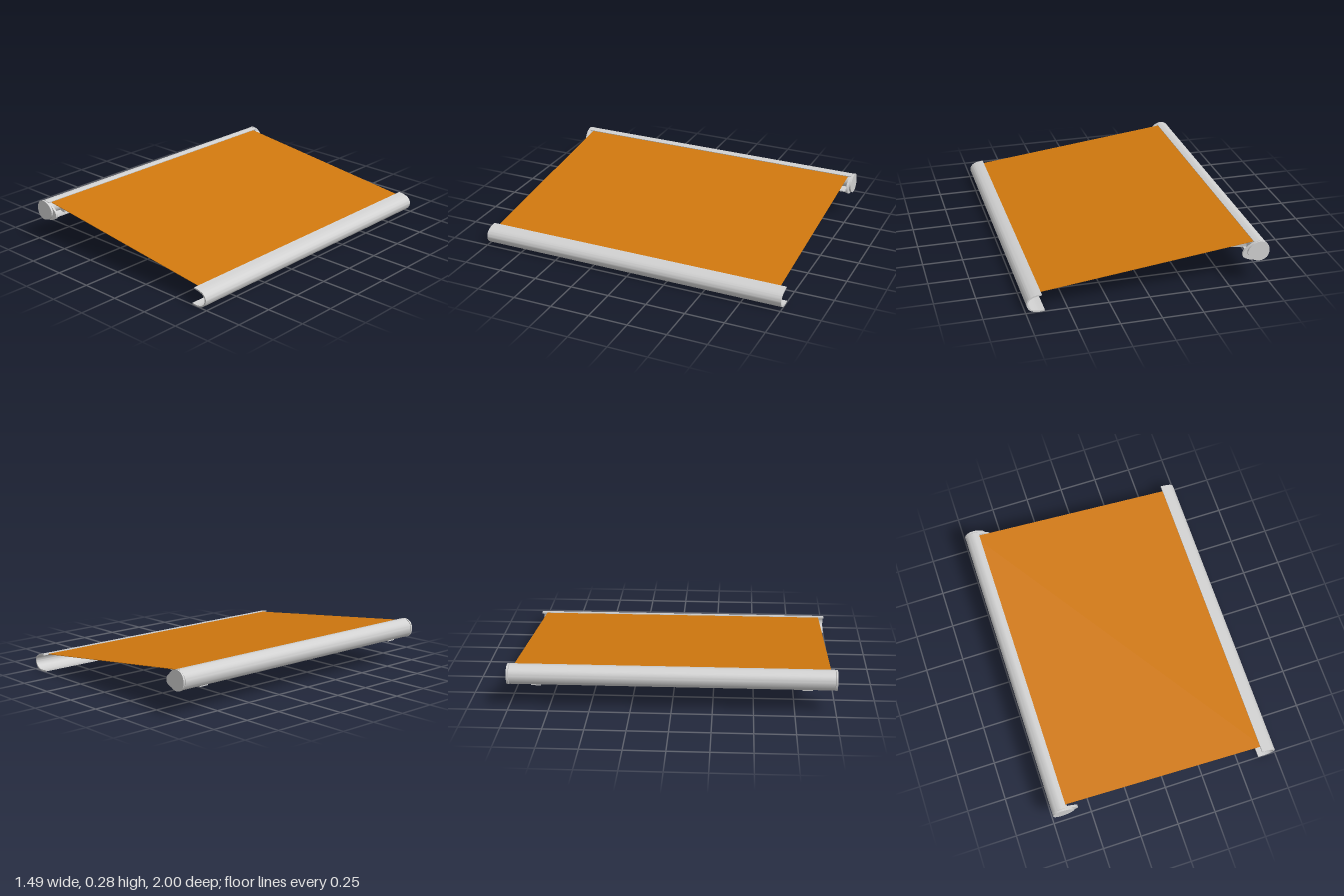
import * as THREE from 'three';
import { toCreasedNormals } from 'three/addons/utils/BufferGeometryUtils.js';

const metal = new THREE.MeshStandardMaterial({ color: 0xd0d0d0 });
metal.name = 'light grey metal';
const cloth = new THREE.MeshStandardMaterial({ color: 0xd0780e });
cloth.name = 'orange fabric';

const vec = (p) => new THREE.Vector2(p[0], p[1]);

function add(parent, name, geometry, material, x = 0, y = 0, z = 0) {
  const mesh = new THREE.Mesh(geometry, material);
  mesh.name = name;
  mesh.position.set(x, y, z);
  parent.add(mesh);
  return mesh;
}

// Extrude an xy shape along z, from z0 to z1
function extrude(shape, z0, z1) {
  const g = new THREE.ExtrudeGeometry(shape, { depth: z1 - z0, bevelEnabled: false, curveSegments: 24 });
  g.translate(0, 0, z0);
  return toCreasedNormals(g, 0.6);
}

// Open channel: a curved wall of the given thickness, thickened to its inner side
function channel(points, thickness) {
  const curve = new THREE.SplineCurve(points.map(vec));
  const outer = [], inner = [];
  for (let i = 0; i <= 32; i++) {
    const p = curve.getPoint(i / 32), t = curve.getTangent(i / 32);
    outer.push(p);
    inner.unshift(new THREE.Vector2(p.x - t.y * thickness, p.y + t.x * thickness));
  }
  return new THREE.Shape([...outer, ...inner]);
}

// Smooth closed outline through a few points
function outline(points) {
  const curve = new THREE.CatmullRomCurve3(points.map((p) => new THREE.Vector3(p[0], p[1], 0)), true);
  return new THREE.Shape(curve.getPoints(48).slice(0, -1).map((p) => new THREE.Vector2(p.x, p.y)));
}

// Rectangular bar between two points
function bar(parent, name, a, b, width, height, material) {
  const A = new THREE.Vector3(...a), B = new THREE.Vector3(...b);
  const mesh = add(parent, name, new THREE.BoxGeometry(width, height, A.distanceTo(B)), material);
  mesh.position.copy(A).add(B).multiplyScalar(0.5);
  mesh.lookAt(B);
  return mesh;
}

export function createModel() {
  const model = new THREE.Group();
  model.name = 'awning';

  // Cassette, open towards the front rail
  const cassette = channel([[-0.652, 0.269], [-0.69, 0.275], [-0.729, 0.254], [-0.745, 0.213],
    [-0.729, 0.17], [-0.69, 0.151], [-0.645, 0.151]], 0.007);
  add(model, 'cassetteHousing', extrude(cassette, -0.985, 0.985), metal);

  // Roller tube
  const roller = new THREE.CylinderGeometry(0.042, 0.042, 1.94, 32).rotateX(Math.PI / 2);
  add(model, 'rollerTube', roller, metal, -0.685, 0.222, 0);

  // Front rail
  const rail = channel([[0.637, 0.002], [0.685, 0.0], [0.727, 0.017], [0.745, 0.056],
    [0.73, 0.09], [0.698, 0.107], [0.653, 0.115]], 0.009);
  add(model, 'frontRail', extrude(rail, -1, 1), metal);

  // Stretched cloth
  bar(model, 'fabric', [-0.685, 0.267, 0], [0.665, 0.108, 0], 1.924, 0.003, cloth);

  // End plates
  const capShape = outline([[-0.745, 0.213], [-0.73, 0.256], [-0.69, 0.275], [-0.65, 0.267],
    [-0.617, 0.238], [-0.607, 0.21], [-0.625, 0.175], [-0.66, 0.153], [-0.695, 0.15], [-0.73, 0.168]]);
  const plateShape = outline([[-0.72, 0.213], [-0.7, 0.255], [-0.66, 0.266], [-0.61, 0.24],
    [-0.582, 0.212], [-0.582, 0.182], [-0.61, 0.163], [-0.66, 0.152], [-0.7, 0.165]]);

  for (const s of [1, -1]) {
    const side = new THREE.Group();
    side.name = s > 0 ? 'leftSide' : 'rightSide';
    model.add(side);
    const span = (z0, z1) => (s > 0 ? [z0, z1] : [-z1, -z0]);
    add(side, 'endCap', extrude(capShape, ...span(0.988, 1)), metal);
    add(side, 'bearingPlate', extrude(plateShape, ...span(0.974, 0.988)), metal);

    // Folding arm
    const shoulder = [-0.67, 0.175, s * 0.815];
    add(side, 'shoulderBracket', new THREE.BoxGeometry(0.05, 0.05, 0.06), metal, -0.69, 0.178, s * 0.822);
    bar(side, 'rearArm', shoulder, [-0.02, 0.116, s * 0.549], 0.028, 0.038, metal);
    bar(side, 'foreArm', [0.012, 0.113, s * 0.549], [0.708, 0.053, s * 0.676], 0.03, 0.038, metal);

    // Elbow hinge with stacked knuckles
    for (const [r, h, y] of [[0.008, 0.038, 0.114], [0.013, 0.009, 0.101], [0.013, 0.009, 0.114], [0.013, 0.009, 0.127]]) {
      add(side, 'elbowHinge', new THREE.CylinderGeometry(r, r, h, 16), metal, -0.005, y, s * 0.546);
    }
    add(side, 'railBracket', new THREE.BoxGeometry(0.03, 0.035, 0.05), metal, 0.718, 0.054, s * 0.678);
  }
  return model;
}
